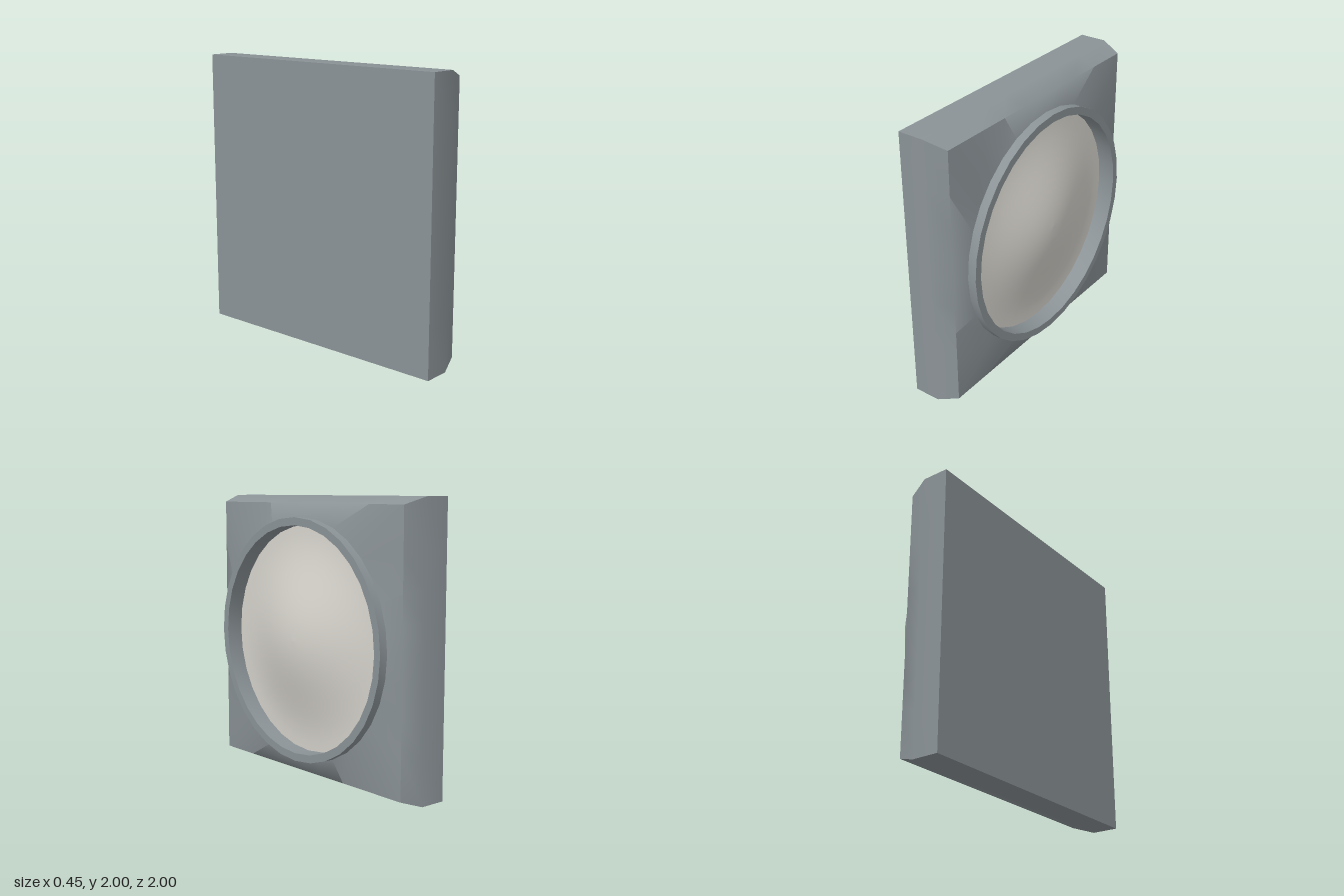
import * as THREE from 'three';
import { toCreasedNormals } from 'three/addons/utils/BufferGeometryUtils.js';

const SIDES = 32;

// Joins cross-sections { x, r, square } lying across the x axis into one skin
function loft(sections) {
  const pos = [], index = [];
  for (const { x, r, square } of sections) {
    for (let i = 0; i < SIDES; i++) {
      const a = (i / SIDES) * Math.PI * 2;
      const c = Math.cos(a), s = Math.sin(a);
      const k = square ? r / Math.max(Math.abs(c), Math.abs(s)) : r;
      pos.push(x, 1 + c * k, s * k);
    }
  }
  for (let j = 0; j < sections.length - 1; j++) {
    for (let i = 0; i < SIDES; i++) {
      const n = (i + 1) % SIDES;
      const a = j * SIDES + i, b = j * SIDES + n;
      const c = a + SIDES, d = b + SIDES;
      index.push(a, b, d, a, d, c);
    }
  }
  const g = new THREE.BufferGeometry();
  g.setAttribute('position', new THREE.Float32BufferAttribute(pos, 3));
  g.setIndex(index);
  return g;
}

export function createModel() {
  const group = new THREE.Group();
  const grey = new THREE.MeshStandardMaterial({ name: 'slate grey', color: 0x8b9397 });
  const white = new THREE.MeshStandardMaterial({ name: 'warm white', color: 0xd6d3cc });

  const add = (name, geometry, material) => {
    const m = new THREE.Mesh(geometry, material);
    m.name = name;
    group.add(m);
  };

  // Square bevelled housing whose face rises to a round collar with a recess
  const housing = loft([
    { x: -0.23, r: 1, square: true },
    { x: -0.04, r: 1, square: true },
    { x: 0.11, r: 0.95, square: true },
    { x: 0.15, r: 0.855 },
    { x: 0.212, r: 0.855 },
    { x: 0.212, r: 0.8 },
    { x: 0.09, r: 0.8 },
  ]);
  add('housing', toCreasedNormals(housing, Math.PI / 3), grey);

  // Flat back
  const back = new THREE.PlaneGeometry(2, 2);
  back.rotateY(-Math.PI / 2).translate(-0.23, 1, 0);
  add('backPanel', back, grey);

  // Bell-shaped lens, flat at the rim and swelling to the middle
  const profile = [];
  for (let i = 0; i <= 12; i++) {
    const r = 0.8 * (1 - i / 12);
    profile.push(new THREE.Vector2(r, 0.09 + 0.0665 * (1 + Math.cos((Math.PI * r) / 0.8))));
  }
  const lens = new THREE.LatheGeometry(profile, SIDES);
  lens.rotateZ(-Math.PI / 2).translate(0, 1, 0);
  add('lens', lens, white);

  return group;
}
